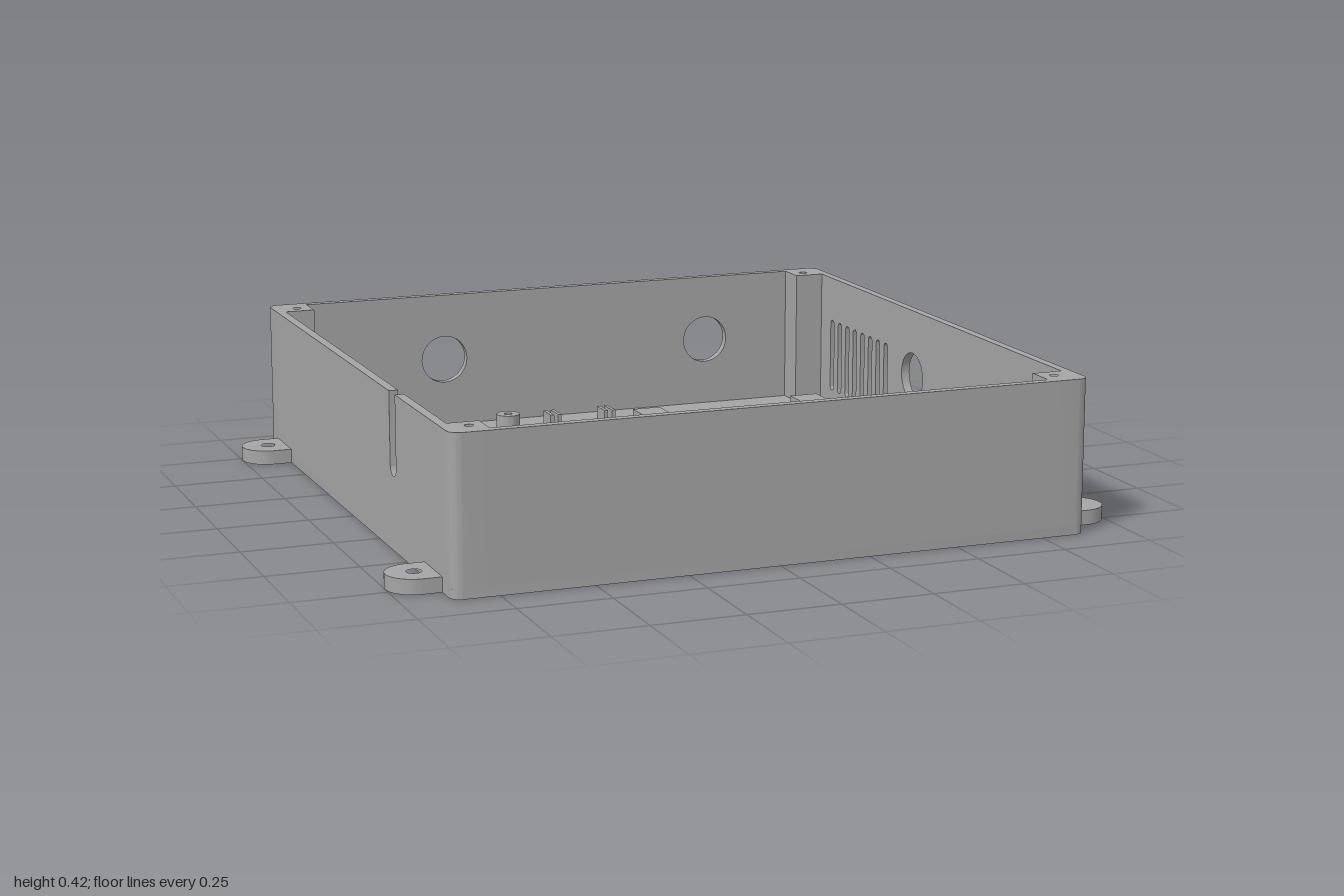
import * as THREE from 'three';
import { toCreasedNormals } from 'three/addons/utils/BufferGeometryUtils.js';

const W = 0.875, D = 0.88, H = 0.42, T = 0.025; // half width, half depth, height, wall
const PX = 0.765, PZ = 0.77;                    // inner edges of the corner posts

export function createModel() {
  const model = new THREE.Group();
  const grey = new THREE.MeshStandardMaterial({ color: 0xa5a5a5 });
  grey.name = 'grey plastic';

  const add = (name, geo, parent = model) => {
    const mesh = new THREE.Mesh(geo, grey);
    mesh.name = name;
    parent.add(mesh);
    return mesh;
  };
  const group = (name) => {
    const g = new THREE.Group();
    g.name = name;
    model.add(g);
    return g;
  };
  const extrude = (shape, depth) => toCreasedNormals(
    new THREE.ExtrudeGeometry(shape, { depth, bevelEnabled: false, curveSegments: 16 }), 0.5);
  // plan outline raised from y0 to y1 (shape y becomes -z)
  const raise = (shape, y0, y1) => extrude(shape, y1 - y0).rotateX(-Math.PI / 2).translate(0, y0, 0);
  const circle = (x, y, r) => new THREE.Path().absarc(x, y, r, 0, Math.PI * 2, true);
  const box = (name, x0, x1, y0, y1, z0, z1, parent) => add(name,
    new THREE.BoxGeometry(x1 - x0, y1 - y0, z1 - z0)
      .translate((x0 + x1) / 2, (y0 + y1) / 2, (z0 + z1) / 2), parent);

  // Floor with rounded corners
  const R = 0.03;
  const floor = new THREE.Shape();
  floor.absarc(W - R, D - R, R, 0, Math.PI / 2);
  floor.absarc(-W + R, D - R, R, Math.PI / 2, Math.PI);
  floor.absarc(-W + R, -D + R, R, Math.PI, Math.PI * 1.5);
  floor.absarc(W - R, -D + R, R, Math.PI * 1.5, Math.PI * 2);
  add('floor', raise(floor, 0, T));

  // Corner posts with screw holes, and mounting ears
  for (const sx of [1, -1]) for (const sz of [1, -1]) {
    const post = new THREE.Shape();
    post.moveTo(sx * PX, sz * PZ);
    post.lineTo(sx * W, sz * PZ);
    post.lineTo(sx * W, sz * (D - R));
    for (let i = 1; i <= 8; i++) {
      const a = (i / 8) * Math.PI / 2;
      post.lineTo(sx * (W - R + R * Math.cos(a)), sz * (D - R + R * Math.sin(a)));
    }
    post.lineTo(sx * PX, sz * D);
    post.holes.push(circle(sx * 0.805, sz * 0.812, 0.012));
    add('cornerPost', raise(post, T, H));

    const r = 0.075, ex = sx * 0.925, ez = sz * 0.725;
    const ear = new THREE.Shape();
    ear.moveTo(sx * (W - 0.01), ez - r);
    ear.lineTo(ex, ez - r);
    ear.absarc(ex, ez, r, -Math.PI / 2, Math.PI / 2, sx < 0);
    ear.lineTo(sx * (W - 0.01), ez + r);
    ear.holes.push(circle(ex, ez, 0.02));
    add('mountingEar', raise(ear, 0, 0.04));
  }

  // Walls between the posts
  const wall = (half) => new THREE.Shape([
    [-half, T], [half, T], [half, H], [-half, H]].map(([x, y]) => new THREE.Vector2(x, y)));

  add('frontWall', extrude(wall(PX), T).translate(0, 0, D - T));

  const back = wall(PX);
  for (const x of [-0.345, 0.495]) back.holes.push(circle(x, 0.225, 0.07));
  add('backWall', extrude(back, T).translate(0, 0, -D));

  // Wall on +x: cable hole and eight ventilation slots
  const vented = wall(PZ);
  vented.holes.push(circle(-0.125, 0.225, 0.07));
  for (let i = 0; i < 8; i++) {
    const z = -0.305 - i * 0.0545, r = 0.0125;
    const slot = new THREE.Path();
    slot.absarc(z, 0.29 - r, r, 0, Math.PI);
    slot.absarc(z, 0.07 + r, r, Math.PI, Math.PI * 2);
    slot.closePath();
    vented.holes.push(slot);
  }
  add('ventedWall', extrude(vented, T).rotateY(-Math.PI / 2).translate(W, 0, 0));

  // Wall on -x: open notch with a round bottom
  const nz = 0.388, nr = 0.026;
  const notched = new THREE.Shape();
  notched.moveTo(-PZ, T);
  notched.lineTo(PZ, T);
  notched.lineTo(PZ, H);
  notched.lineTo(nz + nr, H);
  notched.absarc(nz, 0.2 + nr, nr, 0, -Math.PI, true);
  notched.lineTo(nz - nr, H);
  notched.lineTo(-PZ, H);
  add('notchedWall', extrude(notched, T).rotateY(-Math.PI / 2).translate(-W + T, 0, 0));

  // Hollow screw standoffs
  const standoffs = group('standoffs');
  const standoff = (x, z, r) => {
    const ring = new THREE.Shape().absarc(x, -z, r, 0, Math.PI * 2);
    ring.holes.push(circle(x, -z, 0.012));
    add('standoff', raise(ring, T, 0.08), standoffs);
  };
  [[-0.605, -0.65], [-0.505, -0.695], [-0.2, -0.695], [-0.78, -0.305], [-0.505, -0.15],
    [-0.2, -0.15], [-0.555, 0.073], [0.1, 0.073], [0.28, 0.094], [0.5, 0.094], [-0.745, 0.215],
    [-0.745, 0.388], [-0.745, 0.56], [-0.555, 0.705], [0.1, 0.705],
  ].forEach(([x, z]) => standoff(x, z, 0.035));
  [0.23, 0.39, 0.49, 0.65].forEach((x) => standoff(x, 0.78, 0.028));

  // Long mounting blocks with a central hole
  for (const x of [0.218, 0.732]) {
    const block = new THREE.Shape([[-1, -1], [1, -1], [1, 1], [-1, 1]].map(
      ([a, b]) => new THREE.Vector2(x + a * 0.043, 0.477 + b * 0.161)));
    block.holes.push(circle(x, 0.477, 0.012));
    add('mountingBlock', raise(block, T, 0.075));
  }

  // Small clips: two plates joined by a low web
  const clips = group('clips');
  for (const x of [-0.108, 0.06]) for (const z of [-0.56, -0.34]) {
    box('clipPlate', x - 0.017, x - 0.006, T, 0.105, z - 0.033, z + 0.033, clips);
    box('clipPlate', x + 0.006, x + 0.017, T, 0.105, z - 0.033, z + 0.033, clips);
    box('clipWeb', x - 0.006, x + 0.006, T, 0.06, z - 0.033, z + 0.033, clips);
  }

  // Thin upright holders
  const holders = group('holderPlates');
  for (const x of [0.19, 0.372, 0.407, 0.589])
    box('holderPlate', x - 0.005, x + 0.005, T, 0.105, 0.042, 0.148, holders);

  // Stepped supports
  const supports = group('steppedSupports');
  for (const x of [0.322, 0.582]) {
    box('supportBody', x - 0.043, x + 0.043, T, 0.12, 0.44, 0.474, supports);
    box('supportStep', x - 0.043, x + 0.043, T, 0.1, 0.474, 0.49, supports);
  }

  // Guide ribs beside the notch
  for (const z of [0.297, 0.475])
    box('guideRib', -W + T, -0.635, T, 0.08, z - 0.006, z + 0.006);

  return model;
}
